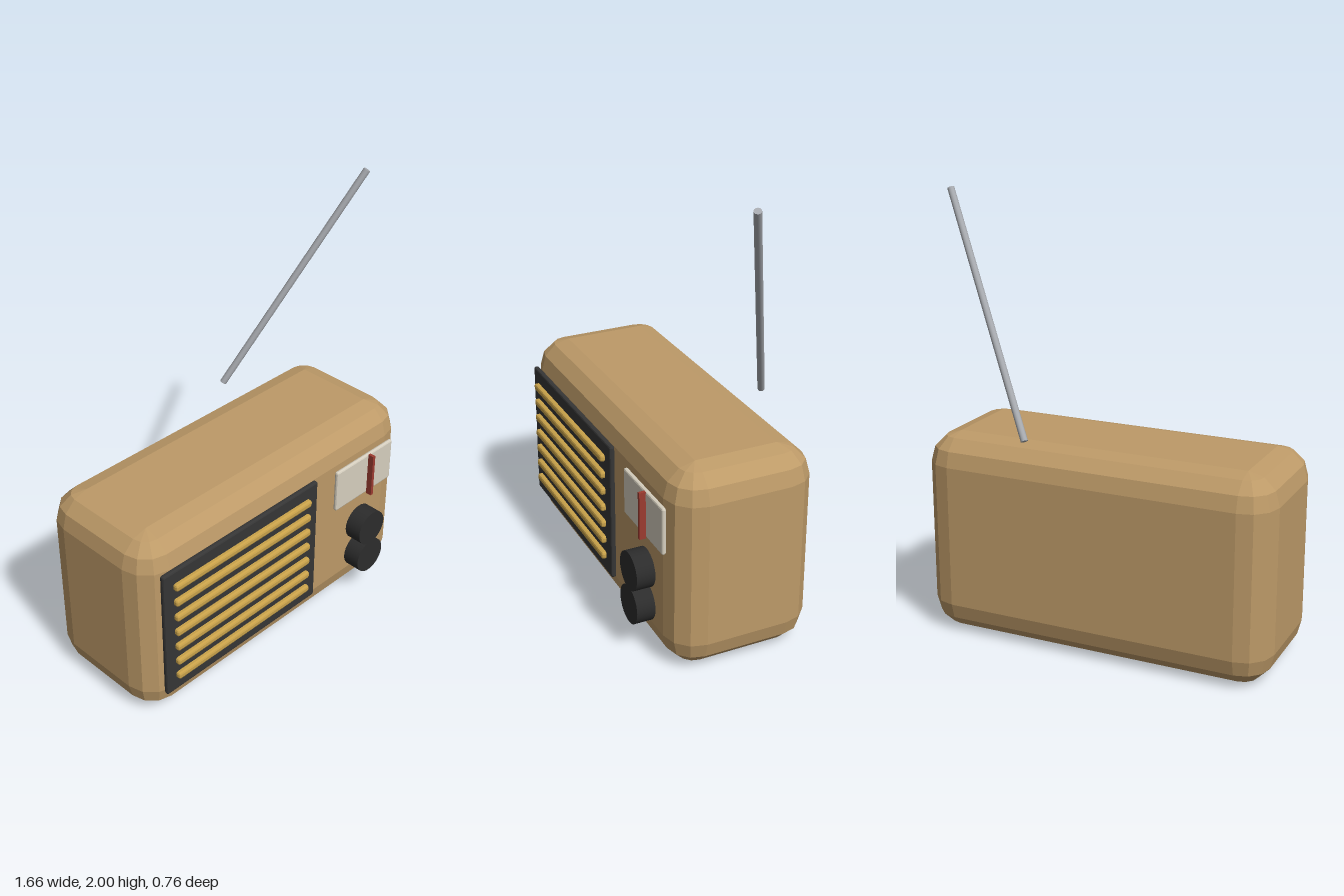
import * as THREE from 'three';
import { ConvexGeometry } from 'three/addons/geometries/ConvexGeometry.js';

const material = (name, color, flatShading = false) => {
  const m = new THREE.MeshStandardMaterial({ color });
  m.name = name;
  m.flatShading = flatShading;
  return m;
};

// Box with edges rounded in a few flat facets
function bevelBox(w, h, d, r, steps) {
  const points = [];
  for (const sx of [-1, 1]) for (const sy of [-1, 1]) for (const sz of [-1, 1]) {
    for (let i = 0; i <= steps; i++) {
      const lat = (i / steps) * Math.PI / 2;
      for (let j = 0; j <= (i === steps ? 0 : steps); j++) {
        const lon = (j / steps) * Math.PI / 2;
        points.push(new THREE.Vector3(
          sx * (w / 2 - r + r * Math.cos(lat) * Math.cos(lon)),
          sy * (h / 2 - r + r * Math.sin(lat)),
          sz * (d / 2 - r + r * Math.cos(lat) * Math.sin(lon))));
      }
    }
  }
  return new ConvexGeometry(points);
}

export function createModel() {
  const group = new THREE.Group();
  group.name = 'radio';
  const tan = material('tan case', 0xbd9a68, true);
  const charcoal = material('charcoal grille', 0x363636, true);
  const gold = material('gold', 0xc9a24a, true);
  const cream = material('cream dial', 0xd6cfbf, true);
  const red = material('red needle', 0x9c3b30, true);
  const black = material('black knob', 0x2c2c2c);
  const silver = material('silver', 0xa8abb0);

  const add = (name, geometry, mat, x, y, z) => {
    const mesh = new THREE.Mesh(geometry, mat);
    mesh.name = name;
    mesh.position.set(x, y, z);
    group.add(mesh);
    return mesh;
  };

  // Case
  add('case', bevelBox(1.645, 0.94, 0.655, 0.14, 3), tan, -0.0125, 0.47, -0.0275);

  // Speaker grille with seven slats
  add('grillePanel', bevelBox(0.935, 0.66, 0.024, 0.008, 2), charcoal, -0.285, 0.47, 0.31);
  const slat = bevelBox(0.825, 0.034, 0.034, 0.01, 2);
  for (let i = 0; i < 7; i++) add('grilleSlat', slat, gold, -0.287, 0.225 + i * 0.0825, 0.327);

  // Tuning dial and needle
  add('dialWindow', bevelBox(0.385, 0.216, 0.02, 0.008, 2), cream, 0.512, 0.663, 0.31);
  add('dialNeedle', new THREE.BoxGeometry(0.015, 0.22, 0.03), red, 0.54, 0.66, 0.334);

  // Knobs
  const knob = new THREE.CylinderGeometry(0.088, 0.088, 0.085, 28).rotateX(Math.PI / 2);
  for (const y of [0.222, 0.388]) add('knob', knob, black, 0.51, y, 0.342);

  // Leaning aerial
  const foot = new THREE.Vector3(0.266, 0.981, -0.365);
  const tip = new THREE.Vector3(0.81, 1.993, -0.012);
  const axis = tip.clone().sub(foot);
  const mid = foot.clone().add(tip).multiplyScalar(0.5);
  const aerial = add('aerial', new THREE.CylinderGeometry(0.016, 0.016, axis.length(), 12), silver, mid.x, mid.y, mid.z);
  aerial.quaternion.setFromUnitVectors(new THREE.Vector3(0, 1, 0), axis.normalize());

  return group;
}
